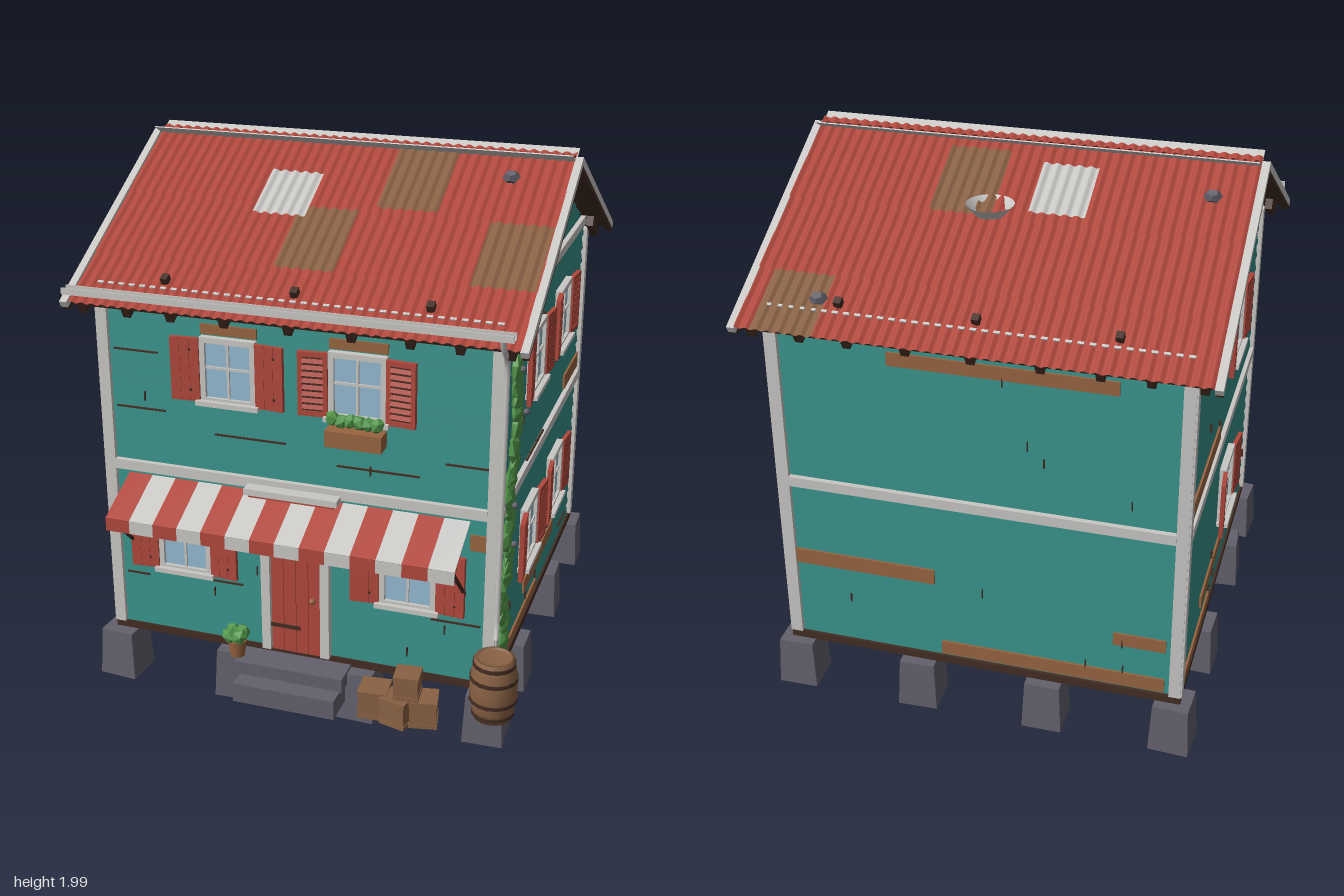
import * as THREE from 'three';

const mat = (name, color, side = THREE.FrontSide) => {
  const m = new THREE.MeshStandardMaterial({ color, side });
  m.name = name;
  return m;
};

export function createModel() {
  const red = mat('red paint', 0xb0483d, THREE.DoubleSide), teal = mat('teal siding', 0x358b84);
  const light = mat('off white', 0xc9c7c4, THREE.DoubleSide), plank = mat('bare plank', 0x986440);
  const wood = mat('weathered wood', 0x896144, THREE.DoubleSide), dark = mat('dark timber', 0x432d23);
  const stone = mat('stone', 0x62606b), green = mat('leaves', 0x52954a);
  const glass = mat('glass', 0x94bad2), floorMat = mat('floor boards', 0x583d2b);

  const root = new THREE.Group();
  root.name = 'house';
  let seed = 7;
  const rnd = () => (seed = (seed * 16807) % 2147483647) / 2147483647;
  const group = (name, parent = root) => {
    const g = new THREE.Group();
    g.name = name;
    parent.add(g);
    return g;
  };
  const add = (parent, name, geo, m, x = 0, y = 0, z = 0) => {
    const mesh = new THREE.Mesh(geo, m);
    mesh.name = name;
    mesh.position.set(x, y, z);
    parent.add(mesh);
    return mesh;
  };
  const box = (p, name, m, w, h, d, x, y, z) => add(p, name, new THREE.BoxGeometry(w, h, d), m, x, y, z);
  // Box whose top or bottom corners are moved by a rule
  const shaped = (w, h, d, rule) => {
    const g = new THREE.BoxGeometry(w, h, d), a = g.attributes.position;
    for (let i = 0; i < a.count; i++) a.setXYZ(i, ...rule(a.getX(i), a.getY(i), a.getZ(i)));
    g.computeVertexNormals();
    return g;
  };

  const ZC = -0.1, TAN = 0.54, APEX = 1.968, ANG = Math.atan(TAN), LEN = 0.9375;
  const gableHalf = y => Math.max(0.01, Math.min(0.7375, (1.94 - y) / TAN));

  // Foundation, floor and solid core
  for (const x of [-0.725, -0.25, 0.23, 0.71]) for (const z of [0.625, 0.245, -0.34, -0.815]) {
    if (Math.abs(x) < 0.5 && Math.abs(z + 0.1) < 0.5) continue;
    const post = add(root, 'stone footing', shaped(0.13, 0.19, 0.13, (a, b, c) => b < 0 ? [a * 1.14, b, c * 1.14] : [a, b, c]), stone, x, 0.1, z);
    post.rotation.y = (rnd() - 0.5) * 0.16;
  }
  for (let i = 0; i < 18; i++) box(root, 'floor plank', floorMat, 1.46, 0.02, 0.08, -0.0075, 0.21, -0.789 + i * 0.081);
  for (const s of [-1, 1]) {
    box(root, 'floor beam', dark, 1.485, 0.03, 0.02, -0.0075, 0.212, ZC + s * 0.734);
    box(root, 'floor beam', dark, 0.02, 0.03, 1.485, -0.0075 + s * 0.734, 0.212, ZC);
  }
  const house = new THREE.Shape([[-0.62, 0.22], [0.82, 0.22], [0.82, 1.5], [0.1, 1.92], [-0.62, 1.5]].map(p => new THREE.Vector2(...p)));
  add(root, 'wall core', new THREE.ExtrudeGeometry(house, { depth: 1.44, bevelEnabled: false }).rotateY(Math.PI / 2), teal, -0.7275, 0, 0);

  // Four walls, each with its own outward-facing frame
  const wall = (name, x, z, ry, centre, gable) => {
    const g = group(name);
    g.position.set(x, 0, z);
    g.rotation.y = ry;
    const step = 0.058;
    for (let y = 0.225; y < (gable ? 1.92 : 1.5); y += step) {
      const b = gable ? gableHalf(y) : 0.7375, t = gable ? gableHalf(y + step) : 0.7375;
      add(g, 'clapboard', shaped(2, step, 0.008, (px, py, pz) => [Math.sign(px) * (py < 0 ? b : t), py, py < 0 ? pz : pz - 0.009]),
        teal, centre, y + step / 2, -0.006);
    }
    for (const s of [-1, 1]) box(g, 'corner board', light, 0.042, 1.3, 0.02, centre + s * 0.7215, 0.875, 0.001);
    box(g, 'floor band', light, 1.4, 0.038, 0.02, centre, 0.892, 0.002);
    if (gable) {
      box(g, 'gable band', light, 1.32, 0.035, 0.02, centre, 1.577, 0.002);
      box(g, 'vent frame', light, 0.11, 0.092, 0.016, centre, 1.765, 0.002);
      for (let i = 0; i < 4; i++) box(g, 'vent slat', red, 0.096, 0.012, 0.012, centre, 1.734 + i * 0.02, 0.008);
    }
    return g;
  };
  const front = wall('front wall', 0, 0.64, 0, -0.0075, false);
  const back = wall('back wall', 0, -0.835, Math.PI, 0.0075, false);
  const right = wall('left side wall', 0.73, 0, Math.PI / 2, 0.1, true);
  const left = wall('right side wall', -0.745, 0, -Math.PI / 2, -0.1, true);

  // Bare repair boards, cracks and upright board joints
  const strip = (g, name, m, x0, x1, y0, y1) => box(g, name, m, x1 - x0, y1 - y0, 0.008, (x0 + x1) / 2, (y0 + y1) / 2, 0.001);
  for (const [g, ...r] of [[right, 0.5, 0.79, 0.93, 0.99], [right, -0.15, 0.4, 0.335, 0.39], [right, -0.51, 0.09, 0.23, 0.272],
    [front, -0.35, -0.14, 1.435, 1.472], [front, 0.125, 0.335, 1.435, 1.472], [front, 0.635, 0.695, 0.75, 0.81],
    [back, -0.7, -0.16, 0.54, 0.6], [back, -0.14, 0.69, 0.235, 0.29], [back, 0.5, 0.69, 0.41, 0.46], [back, -0.3, 0.5, 1.41, 1.46],
    [left, -0.76, -0.2, 0.93, 0.99], [left, -0.45, 0.2, 0.335, 0.385], [left, -0.78, -0.25, 0.23, 0.27]]) strip(g, 'bare board', plank, ...r);
  for (const [g, x0, x1, y] of [[front, -0.69, -0.52, 1.34], [front, -0.31, -0.04, 1.055], [front, -0.69, -0.5, 1.12], [front, 0.54, 0.69, 1.06],
    [front, 0.15, 0.45, 0.998], [front, -0.69, -0.6, 0.44], [front, 0.5, 0.68, 0.45], [front, -0.37, -0.22, 0.46],
    [right, 0.08, 0.26, 1.545], [right, -0.2, 0.1, 0.912], [right, 0.55, 0.7, 0.28], [right, 0.3, 0.42, 1.12]]) strip(g, 'crack', dark, x0, x1, y, y + 0.005);
  for (const g of [front, back, left, right]) for (let i = 0; i < 9; i++) {
    const x = (rnd() - 0.5) * 1.3, y = 0.225 + 0.058 * [1, 3, 5, 13, 15, 16, 20][i % 7];
    strip(g, 'board joint', dark, x, x + 0.004, y, y + 0.035);
  }

  // Windows with a pair of shutters, solid or louvred
  const windowUnit = (wallGroup, x, y, louvred) => {
    const g = group('window', wallGroup);
    g.position.set(x, y, 0);
    box(g, 'pane', glass, 0.18, 0.22, 0.012, 0, 0, 0.004);
    for (const s of [-1, 1]) {
      box(g, 'frame side', light, 0.02, 0.24, 0.026, s * 0.094, 0, 0.01);
      box(g, 'frame rail', light, 0.208, 0.02, 0.026, 0, s * 0.112, 0.01);
      const sh = group('shutter', g);
      sh.position.set(s * 0.106, 0, 0.02);
      sh.rotation.y = -s * 0.09;
      const cx = s * 0.052;
      if (louvred) {
        box(sh, 'shutter back', dark, 0.09, 0.22, 0.005, cx, 0, 0);
        for (const e of [-1, 1]) {
          box(sh, 'stile', red, 0.016, 0.235, 0.018, cx + e * 0.045, 0, 0);
          box(sh, 'rail', red, 0.1, 0.018, 0.018, cx, e * 0.108, 0);
        }
        for (let i = 0; i < 8; i++) box(sh, 'louvre', red, 0.076, 0.016, 0.008, cx, -0.084 + i * 0.024, 0.005).rotation.x = -0.4;
      } else {
        for (const e of [-1, 0, 1]) box(sh, 'shutter board', red, 0.0345, 0.235, 0.016, cx + e * 0.0355, 0, 0);
        for (const e of [-1, 1]) box(sh, 'nail', dark, 0.008, 0.008, 0.004, cx + 0.02, e * 0.075, 0.009);
      }
    }
    box(g, 'muntin', light, 0.009, 0.22, 0.014, 0, 0, 0.01);
    box(g, 'muntin', light, 0.18, 0.009, 0.014, 0, 0.01, 0.01);
    box(g, 'sill', light, 0.235, 0.018, 0.045, 0, -0.12, 0.02);
  };
  for (const [g, x, y, l] of [[front, -0.245, 1.307, false], [front, 0.23, 1.307, true], [front, -0.44, 0.612, false], [front, 0.417, 0.612, false],
    [right, -0.147, 1.307, false], [right, 0.34, 1.307, true], [right, -0.147, 0.612, true], [right, 0.34, 0.612, false],
    [left, 0, 1.307, true], [left, 0, 0.612, false]]) windowUnit(g, x, y, l);

  // Door
  for (let i = 0; i < 4; i++) box(front, 'door plank', red, 0.046, 0.6, 0.02, -0.078 + i * 0.048, 0.525, 0.006);
  box(front, 'door backing', dark, 0.19, 0.6, 0.012, -0.006, 0.525, 0.001);
  for (const x of [-0.121, 0.107]) box(front, 'door jamb', light, 0.034, 0.62, 0.03, x, 0.535, 0.012);
  for (const y of [0.33, 0.62]) box(front, 'strap hinge', dark, 0.12, 0.014, 0.006, -0.05, y, 0.018);
  add(front, 'door knob', new THREE.SphereGeometry(0.012, 10, 8), plank, 0.06, 0.455, 0.024);
  box(front, 'door header', light, 0.35, 0.024, 0.06, -0.008, 0.877, 0.03);
  box(front, 'door header trim', red, 0.32, 0.012, 0.05, -0.008, 0.86, 0.025);

  // Striped awning and its struts
  for (let i = 0; i < 14; i++) {
    const m = i % 2 ? light : red, x = -0.655 + 0.0921 * (i + 0.5);
    box(root, 'awning stripe', m, 0.0921, 0.006, 0.225, x, 0.815, 0.748).rotation.x = 0.42;
    box(root, 'awning valance', m, 0.0921, 0.048, 0.005, x, 0.746, 0.85);
  }
  const rod = (name, m, r, ...pts) => add(root, name, new THREE.TubeGeometry(
    new THREE.CatmullRomCurve3(pts.map(p => new THREE.Vector3(...p)), false, 'catmullrom', 0.2), pts.length * 6, r, 8), m);
  for (const x of [-0.645, 0.622]) rod('awning strut', dark, 0.007, [x, 0.77, 0.845], [x, 0.58, 0.65]);

  // Wall lantern and flower box
  box(front, 'lantern arm', dark, 0.01, 0.01, 0.05, 0.205, 0.71, 0.025);
  box(front, 'lantern', light, 0.036, 0.05, 0.036, 0.205, 0.67, 0.045);
  box(front, 'lantern cap', light, 0.05, 0.01, 0.05, 0.205, 0.7, 0.045);
  box(front, 'flower box', plank, 0.205, 0.06, 0.065, 0.23, 1.13, 0.04);
  const leaf = (p, x, y, z, sx, sy, sz) => {
    const b = add(p, 'foliage', new THREE.IcosahedronGeometry(1, 0), green, x, y, z);
    b.scale.set(sx, sy, sz);
    b.rotation.z = rnd() * 6;
  };
  for (let i = 0; i < 6; i++) leaf(front, 0.15 + i * 0.032, 1.185 + rnd() * 0.015, 0.045, 0.026, 0.03, 0.028);

  // Climbing vine: z, y along the side wall
  const vine = new THREE.CatmullRomCurve3([[0.56, 0.2], [0.53, 0.4], [0.57, 0.54], [0.5, 0.64], [0.53, 0.75], [0.49, 0.85], [0.52, 0.92],
    [0.46, 1.02], [0.46, 1.2], [0.48, 1.33], [0.45, 1.43], [0.4, 1.5]].map(([z, y]) => new THREE.Vector3(-z, y, 0.01)));
  for (let i = 0; i <= 30; i++) {
    const p = vine.getPoint(i / 30);
    leaf(right, p.x + (rnd() - 0.5) * 0.045, p.y, p.z, 0.042 + rnd() * 0.018, 0.048 + rnd() * 0.016, 0.02);
  }
  for (const [z, y] of [[0.49, 1.38], [0.4, 1.19], [0.53, 0.89], [0.51, 0.73]]) add(right, 'berry', new THREE.IcosahedronGeometry(0.012, 1), stone, -z, y, 0.032);

  // Roof slopes: local z runs down the slope, local y is its normal
  const sheet = (g, name, m, x0, x1, z0, z1, lift) => {
    const geo = new THREE.PlaneGeometry(x1 - x0, z1 - z0, Math.round((x1 - x0) * 200), 1).rotateX(-Math.PI / 2);
    geo.translate((x0 + x1) / 2, 0, (z0 + z1) / 2);
    const a = geo.attributes.position;
    for (let i = 0; i < a.count; i++) a.setY(i, lift + 0.005 * Math.cos(a.getX(i) * 157) + (a.getZ(i) > (z0 + z1) / 2 ? 0.006 : 0));
    geo.computeVertexNormals();
    add(g, name, geo, m);
  };
  const slope = (name, s) => {
    const turn = group(name);
    turn.position.set(0, APEX, ZC);
    turn.rotation.y = s > 0 ? 0 : Math.PI;
    const g = group('roof slope', turn);
    g.rotation.x = ANG;
    const off = -0.0075 * s;
    box(g, 'roof deck', dark, 1.6, 0.012, LEN - 0.02, off, -0.014, LEN / 2 - 0.005);
    for (const [z0, z1] of [[0.65, LEN], [0.33, 0.68], [-0.034, 0.36]]) sheet(g, 'corrugated sheet', red, off - 0.8075, off + 0.8075, z0, z1, 0.002);
    for (const x of [-0.83, 0.812]) {
      box(g, 'bargeboard', light, 0.028, 0.026, LEN + 0.01, s * x, -0.003, LEN / 2);
      box(g, 'rake timber', dark, 0.024, 0.016, LEN, s * x, -0.024, LEN / 2);
    }
    for (const x of [-0.78, -0.61, -0.445, -0.245, -0.01, 0.215, 0.42, 0.59, 0.76]) box(g, 'rafter tail', dark, 0.028, 0.042, 0.17, s * x, -0.04, 0.835);
    box(g, 'ridge flashing', light, 1.615, 0.004, 0.068, off, -0.007, -0.036);
    for (let i = 0; i < 37; i++) box(g, 'eave clip', light, 0.022, 0.005, 0.01, off - 0.72 + i * 0.04, 0.011, 0.83);
    for (const x of [-0.49, -0.01, 0.47]) box(g, 'snow guard', dark, 0.026, 0.028, 0.028, s * x, 0.02, 0.795);
    return g;
  };
  const frontRoof = slope('front roof', 1), backRoof = slope('back roof', -1);
  for (const r of [[0.15, 0.375, 0.01, 0.34], [-0.13, 0.09, 0.335, 0.675], [0.57, 0.795, 0.335, 0.675]]) sheet(frontRoof, 'rusty sheet', wood, ...r, 0.006);
  for (const r of [[-0.28, -0.06, 0.05, 0.355], [-0.745, -0.52, 0.67, 0.94]]) sheet(backRoof, 'rusty sheet', wood, ...r, 0.006);
  sheet(frontRoof, 'patch sheet', light, -0.29, -0.09, 0.19, 0.425, 0.016);
  sheet(backRoof, 'patch sheet', light, 0.07, 0.27, 0.1, 0.33, 0.016);
  for (const p of [[0.6, 1.925, 0.05], [0.54, 1.615, -0.81], [-0.68, 1.905, -0.28]]) {
    const rock = add(root, 'roof stone', new THREE.DodecahedronGeometry(0.03, 0), stone, ...p);
    rock.scale.set(1.1, 0.8, 0.9);
  }
  add(root, 'flue collar', new THREE.CylinderGeometry(0.085, 0.05, 0.04, 20, 1, true), light, 0.06, 1.833, -0.415);

  // Open box gutter and downpipe
  for (const [h, d, y, z] of [[0.004, 0.04, 1.57, 0.746], [0.024, 0.004, 1.58, 0.764], [0.024, 0.004, 1.58, 0.728]]) box(root, 'gutter', light, 1.6, h, d, -0.015, y, z);
  rod('downpipe', light, 0.01, [0.745, 1.57, 0.746], [0.745, 1.53, 0.73], [0.743, 1.43, 0.656], [0.743, 0.5, 0.656], [0.748, 0.44, 0.69]);

  // Steps
  box(root, 'upper step', stone, 0.42, 0.055, 0.13, -0.008, 0.178, 0.69);
  box(root, 'lower step', stone, 0.39, 0.075, 0.2, 0, 0.118, 0.725);

  // Potted plant
  add(root, 'plant pot', new THREE.CylinderGeometry(0.036, 0.027, 0.065, 12), plank, -0.22, 0.24, 0.71);
  for (let i = 0; i < 4; i++) leaf(root, -0.24 + (i % 2) * 0.035, 0.295, 0.695 + (i > 1) * 0.035, 0.03, 0.035, 0.03);

  // Barrel with hoops
  const barrel = group('barrel');
  barrel.position.set(0.755, 0.16, 0.725);
  const R = y => 0.07 + 0.016 * Math.sin(Math.PI * y / 0.235);
  const prof = [[0, 0], ...[0, 1, 2, 3, 4, 5, 6].map(i => [R(i * 0.235 / 6), i * 0.235 / 6]), [0.06, 0.235], [0.06, 0.225], [0, 0.225]];
  add(barrel, 'barrel body', new THREE.LatheGeometry(prof.map(p => new THREE.Vector2(...p)), 16), wood);
  for (const y of [0.02, 0.075, 0.16, 0.215]) add(barrel, 'hoop', new THREE.CylinderGeometry(R(y) + 0.003, R(y) + 0.003, 0.014, 16), dark, 0, y, 0);

  // Crates
  for (const [x, y, z, s, a] of [[0.355, 0.215, 0.84, 0.105, 0.1], [0.45, 0.212, 0.865, 0.1, -0.25], [0.535, 0.212, 0.84, 0.1, 0.2], [0.478, 0.308, 0.85, 0.09, 0.1]]) {
    const g = group('crate');
    g.position.set(x, y, z);
    g.rotation.y = a;
    box(g, 'crate body', wood, s * 0.95, s, s * 0.95, 0, 0, 0);
    for (const e of [-1, 1]) box(g, 'crate rail', wood, s, 0.016, s, 0, e * (s / 2 - 0.007), 0);
  }
  return root;
}
